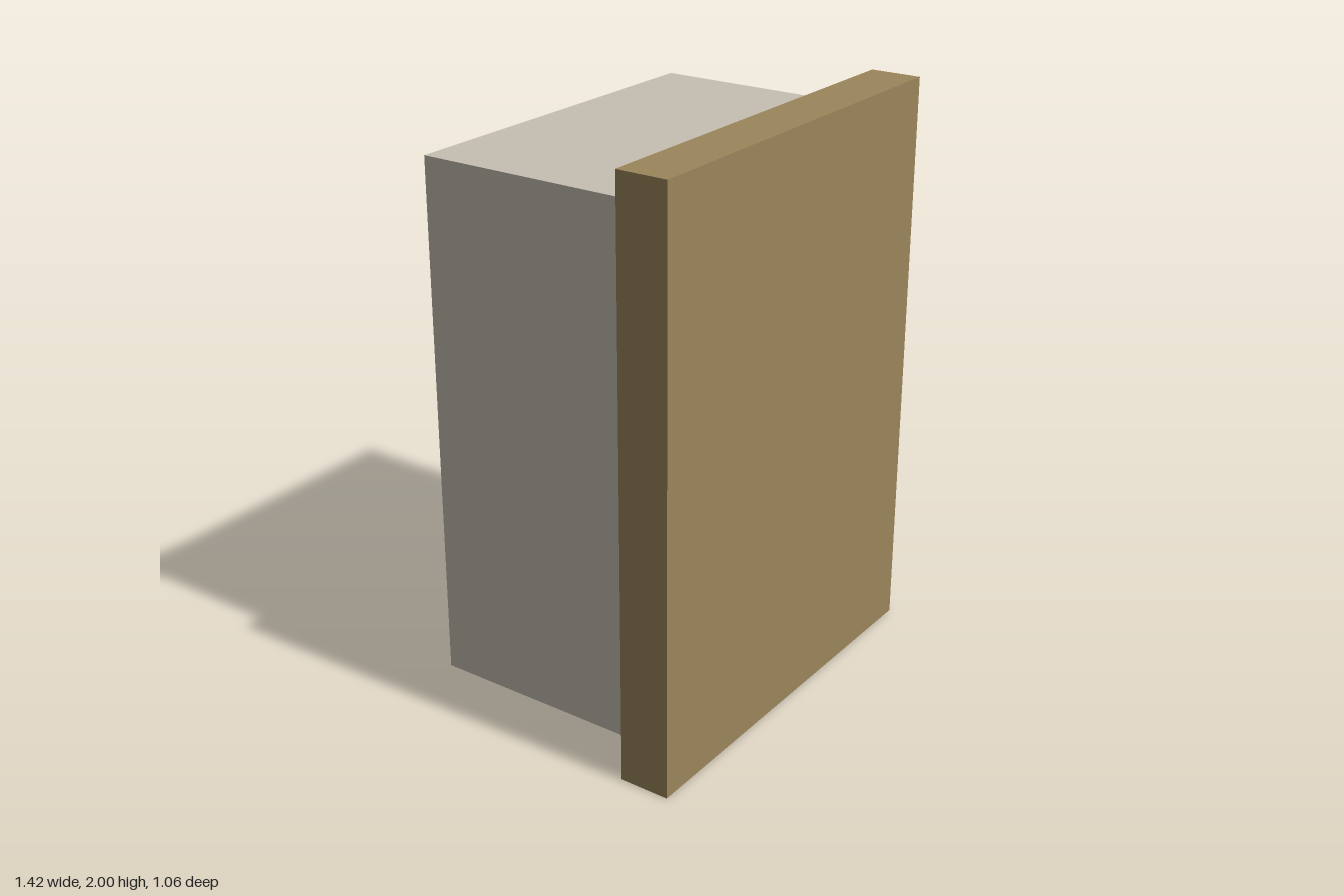
import * as THREE from 'three';

const brown = new THREE.MeshStandardMaterial({ name: 'brown', color: 0x9b855b });
const stone = new THREE.MeshStandardMaterial({ name: 'warm grey', color: 0xc7bfb2 });
brown.flatShading = stone.flatShading = true;

export function createModel() {
  const group = new THREE.Group();
  group.name = 'wallBox';

  const add = (name, geometry, material, y, z) => {
    const mesh = new THREE.Mesh(geometry, material);
    mesh.name = name;
    mesh.position.set(0, y, z);
    group.add(mesh);
  };

  // Box spanning z0 to z1
  const slab = (name, material, w, y0, y1, z0, z1) =>
    add(name, new THREE.BoxGeometry(w, y1 - y0, z1 - z0), material, (y0 + y1) / 2, (z0 + z1) / 2);

  // Octagonal disc facing along z, corners on the axes
  const octagon = (name, material, r, z0, z1) =>
    add(name, new THREE.CylinderGeometry(r, r, z1 - z0, 8).rotateX(Math.PI / 2), material, 1, (z0 + z1) / 2);

  // Front plate and main body
  slab('frontPlate', brown, 1.425, 0, 2, 0.353, 0.53);
  slab('body', stone, 1.288, 0.108, 1.895, -0.416, 0.353);

  // Stepped knob on the back
  octagon('knobRing', brown, 0.37, -0.473, -0.416);
  octagon('knobCap', stone, 0.3, -0.53, -0.473);

  return group;
}
